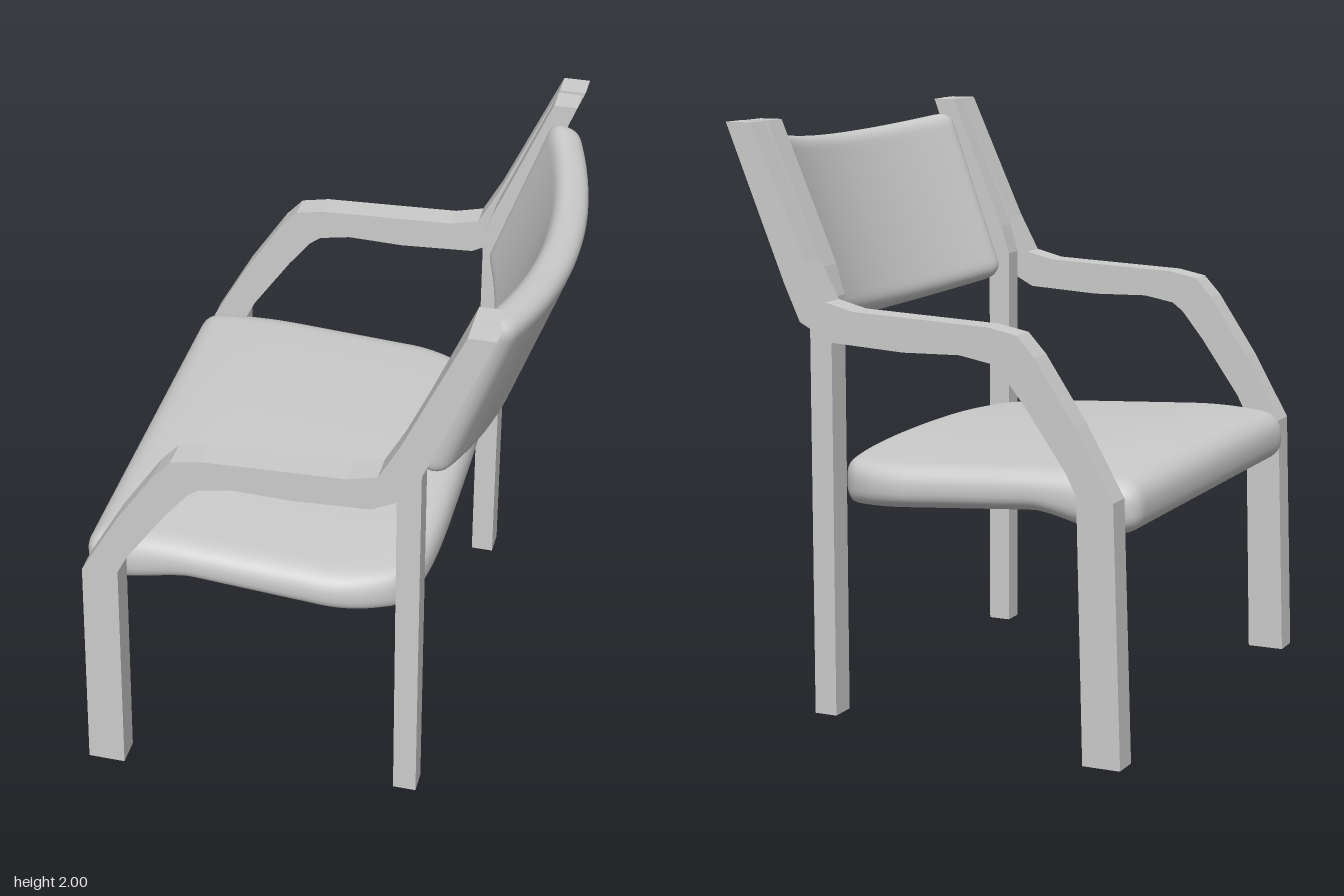
import * as THREE from 'three';
import { mergeVertices } from 'three/addons/utils/BufferGeometryUtils.js';

const material = new THREE.MeshStandardMaterial({ color: 0xcccccc });

// Flat side profile (x, y) given depth between z0 and z1
function slab(name, points, z0, z1) {
  const shape = new THREE.Shape(points.map(([x, y]) => new THREE.Vector2(x, y)));
  const geometry = new THREE.ExtrudeGeometry(shape, { depth: z1 - z0, bevelEnabled: false });
  geometry.translate(0, 0, z0);
  const mesh = new THREE.Mesh(geometry, material);
  mesh.name = name;
  return mesh;
}

// Rounded box whose dense vertices are then moved by a rule
function cushion(name, size, radius, segments, warp) {
  let geometry = new THREE.BoxGeometry(...size, ...segments);
  geometry.deleteAttribute('uv');
  geometry.deleteAttribute('normal');
  geometry = mergeVertices(geometry, 1e-5);
  const half = new THREE.Vector3(...size).multiplyScalar(0.5);
  const inner = half.clone().subScalar(radius);
  const outer = inner.clone().negate();
  const position = geometry.attributes.position;
  const p = new THREE.Vector3(), core = new THREE.Vector3();
  for (let i = 0; i < position.count; i++) {
    p.fromBufferAttribute(position, i);
    core.copy(p).clamp(outer, inner);
    p.sub(core).setLength(radius).add(core);
    warp(p, half);
    position.setXYZ(i, p.x, p.y, p.z);
  }
  geometry.computeVertexNormals();
  const mesh = new THREE.Mesh(geometry, material);
  mesh.name = name;
  return mesh;
}

export function createModel() {
  const group = new THREE.Group();
  group.name = 'armchair';
  const { lerp, smoothstep, mapLinear } = THREE.MathUtils;

  // Outer frames: front leg, armrest and back upright in one bent piece
  const arm = [
    [-0.76, 0], [-0.63, 0], [-0.605, 0.87], [-0.57, 0.94], [-0.43, 1.14], [-0.35, 1.24],
    [-0.31, 1.27], [-0.2, 1.29], [0, 1.285], [0.26, 1.3], [0.375, 1.36], [0.43, 1.48],
    [0.64, 2], [0.55, 2], [0.35, 1.56], [0.28, 1.43], [0.18, 1.405], [-0.3, 1.385],
    [-0.4, 1.365], [-0.46, 1.3], [-0.6, 1.09], [-0.73, 0.86],
  ];
  group.add(slab('rightArmFrame', arm, 0.73, 0.825));
  group.add(slab('leftArmFrame', arm, -0.828, -0.737));

  // Inner rear legs, bent to follow the back uprights
  const rear = [
    [0.32, 0.01], [0.4, 0.01], [0.4, 1.38], [0.44, 1.5], [0.63, 2], [0.55, 2], [0.35, 1.53], [0.32, 1.43],
  ];
  group.add(slab('rightRearLeg', rear, 0.65, 0.729));
  group.add(slab('leftRearLeg', rear, -0.718, -0.625));

  // Seat: crowned top, rolled front edge, narrowed rear corners
  group.add(cushion('seat', [1.155, 0.17, 1.45], 0.07, [48, 8, 60], (p, half) => {
    const v = p.y / half.y, w = p.z / half.z;
    const x = p.x - 0.187;
    const bottom = mapLinear(Math.max(x, -0.4), -0.4, 0.39, 0.778, 0.718)
      - 0.048 * (1 - smoothstep(x, -0.65, -0.38));
    const front = Math.max(0, (-0.42 - x) / 0.345);
    const top = mapLinear(x, -0.4, 0.39, 0.91, 0.865)
      - 0.035 * front * front + 0.025 * (1 - w * w) * (1 - front * front);
    p.y = lerp(bottom, top, (v + 1) / 2);
    const back = Math.max(0, (x - 0.05) / 0.34);
    p.z = p.z * (1 - 0.17 * back * back) - 0.005;
    p.x = x - 0.05 * w ** 4 * back;
  }));

  // Backrest: bowed towards the rear, then tilted
  const backrest = cushion('backrest', [0.12, 0.645, 1.28], 0.05, [8, 36, 70], (p, half) => {
    const w = p.z / half.z;
    p.x -= 0.125 * w * w;
  });
  backrest.rotation.z = -0.345;
  backrest.position.set(0.608, 1.6, 0.015);
  group.add(backrest);

  return group;
}
